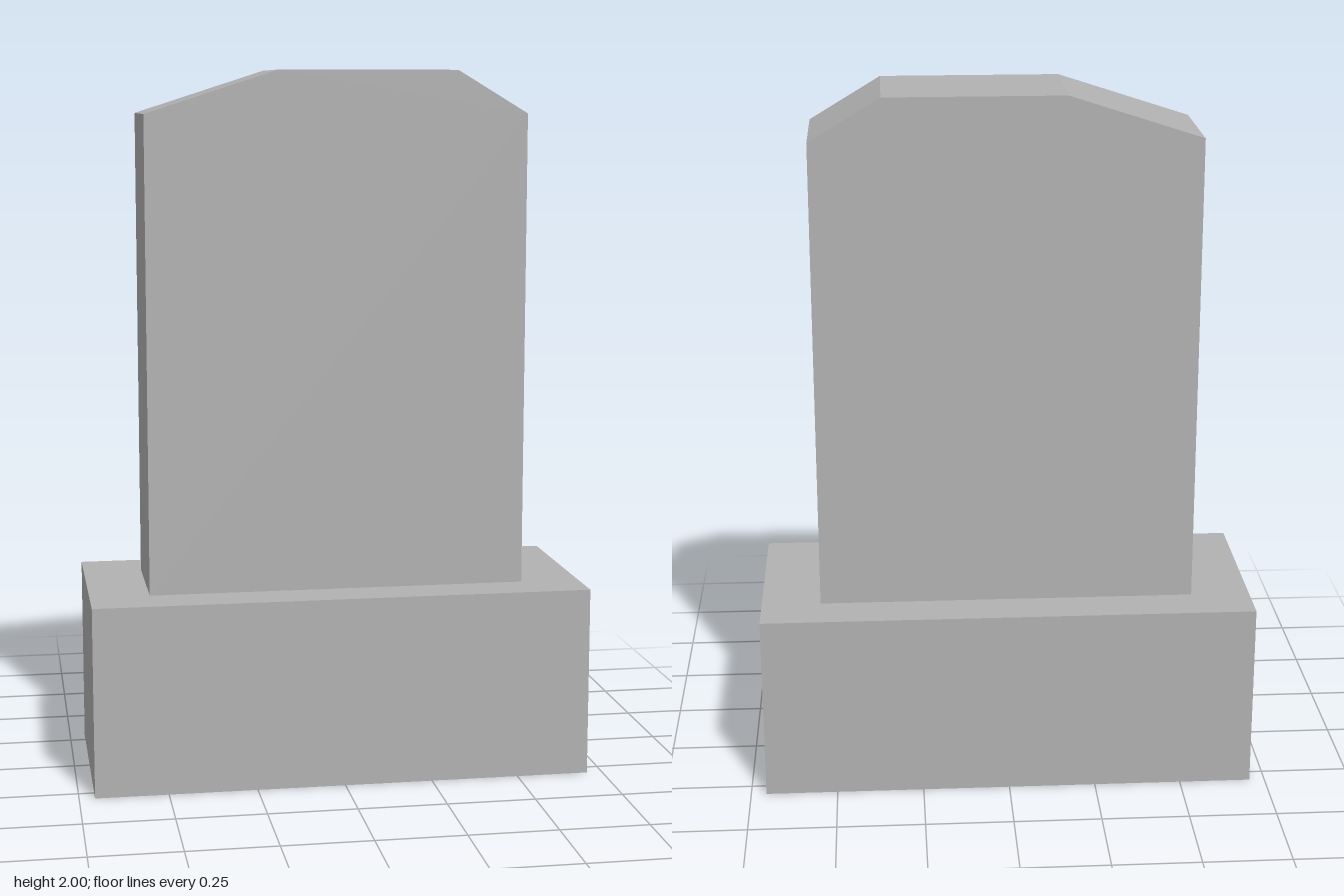
import * as THREE from 'three';

export function createModel() {
  const group = new THREE.Group();
  const stone = new THREE.MeshStandardMaterial({ color: 0xb2b2b2 });
  stone.name = 'grey stone';

  const baseHeight = 0.54;

  // Plinth block
  const base = new THREE.Mesh(new THREE.BoxGeometry(1.412, baseHeight, 0.596), stone);
  base.name = 'base';
  base.position.y = baseHeight / 2;
  group.add(base);

  // Upright slab with an uneven, chamfered top
  const outline = new THREE.Shape([
    [-0.537, baseHeight], [0.537, baseHeight], [0.537, 1.88],
    [0.337, 2], [-0.165, 2], [-0.537, 1.88],
  ].map(([x, y]) => new THREE.Vector2(x, y)));
  const depth = 0.336;
  const slabGeometry = new THREE.ExtrudeGeometry(outline, { depth, bevelEnabled: false });
  slabGeometry.translate(0, 0, -depth / 2);
  const slab = new THREE.Mesh(slabGeometry, stone);
  slab.name = 'uprightSlab';
  group.add(slab);

  return group;
}
